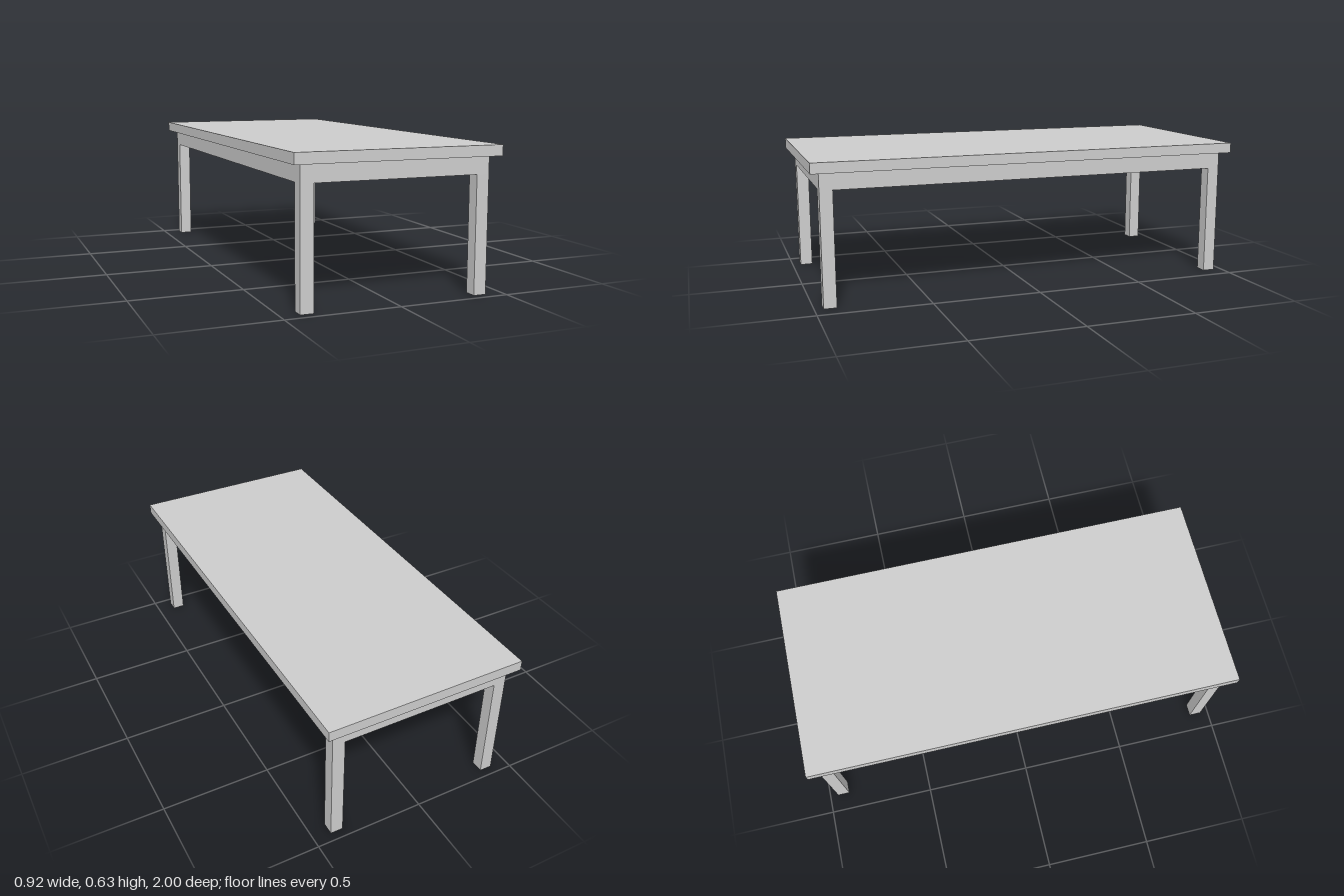
import * as THREE from 'three';

const material = new THREE.MeshStandardMaterial({ color: 0xcccccc, flatShading: true });

const TOP = { halfX: 0.459, halfZ: 1, bottom: 0.588, height: 0.635 };
const FRAME = { halfX: 0.42, halfZ: 0.961, bottom: 0.511 };
const LEG = 0.057; // leg width and apron thickness

function rectangle(PathType, x, z) {
  return new PathType([[-x, -z], [x, -z], [x, z], [-x, z]].map(p => new THREE.Vector2(...p)));
}

function addMesh(parent, name, geometry) {
  const mesh = new THREE.Mesh(geometry, material);
  mesh.name = name;
  parent.add(mesh);
  return mesh;
}

export function createModel() {
  const table = new THREE.Group();
  table.name = 'table';

  // Overhanging slab
  const thickness = TOP.height - TOP.bottom;
  addMesh(table, 'tableTop', new THREE.BoxGeometry(TOP.halfX * 2, thickness, TOP.halfZ * 2))
    .position.y = TOP.bottom + thickness / 2;

  // Rectangular apron, open in the middle
  const outline = rectangle(THREE.Shape, FRAME.halfX, FRAME.halfZ);
  outline.holes.push(rectangle(THREE.Path, FRAME.halfX - LEG, FRAME.halfZ - LEG));
  const apron = new THREE.ExtrudeGeometry(outline, { depth: TOP.bottom - FRAME.bottom, bevelEnabled: false });
  apron.rotateX(-Math.PI / 2);
  addMesh(table, 'apron', apron).position.y = FRAME.bottom;

  // Square legs flush with the apron corners
  const legGeometry = new THREE.BoxGeometry(LEG, FRAME.bottom, LEG);
  for (const [sideX, nameX] of [[1, 'Left'], [-1, 'Right']]) {
    for (const [sideZ, nameZ] of [[1, 'front'], [-1, 'back']]) {
      addMesh(table, `${nameZ}${nameX}Leg`, legGeometry).position.set(
        sideX * (FRAME.halfX - LEG / 2), FRAME.bottom / 2, sideZ * (FRAME.halfZ - LEG / 2));
    }
  }
  return table;
}
